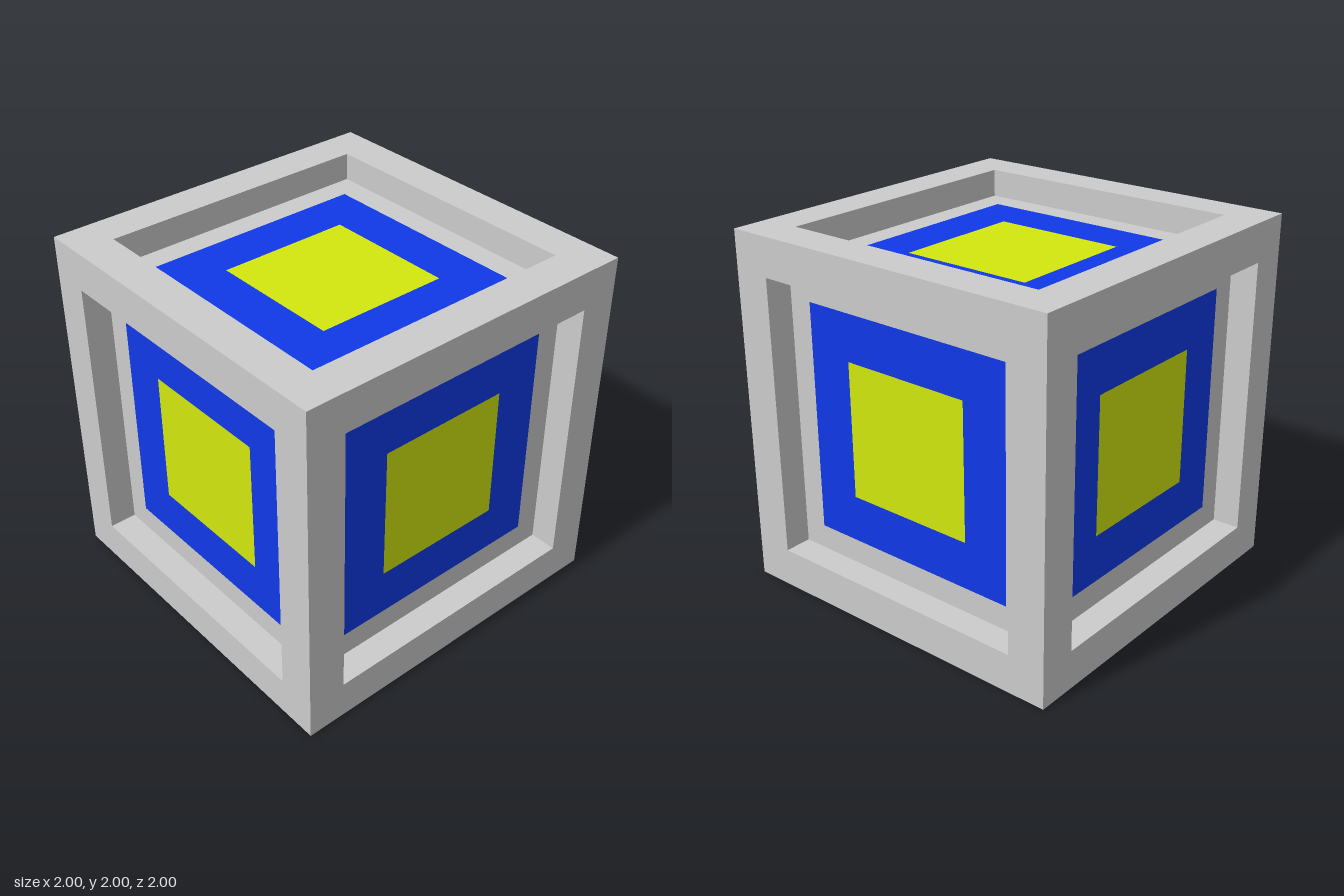
import * as THREE from 'three';

const DEPTH = 0.155;        // how far the panels sit below the rim
const OPENING = 0.783;      // half-sizes of the nested squares
const BLUE = 0.645;
const YELLOW = 0.383;
const FLOOR = 1 - DEPTH;

// A four-sided lathe: profile of [half-size, height] from the outside in
function squareLathe(name, profile, material) {
  const points = profile.map(([half, y]) => new THREE.Vector2(half * Math.SQRT2, y));
  const mesh = new THREE.Mesh(new THREE.LatheGeometry(points, 4, Math.PI / 4), material);
  mesh.name = name;
  return mesh;
}

export function createModel() {
  const grey = new THREE.MeshStandardMaterial({ color: 0xcccccc, flatShading: true });
  const blue = new THREE.MeshStandardMaterial({ color: 0x1038e8, flatShading: true });
  const yellow = new THREE.MeshStandardMaterial({ color: 0xd2e80e, flatShading: true });

  // One side of the cube, facing +y
  function side(name, rx, rz) {
    const group = new THREE.Group();
    group.name = name;
    group.add(
      // rim, recess walls and grey border of the panel
      squareLathe('frame', [[1, 1], [OPENING, 1], [OPENING, FLOOR], [BLUE, FLOOR]], grey),
      squareLathe('blueBorder', [[BLUE, FLOOR], [YELLOW, FLOOR]], blue),
      squareLathe('yellowCentre', [[YELLOW, FLOOR], [0, FLOOR]], yellow),
    );
    group.rotation.set(rx, 0, rz);
    group.position.y = 1;
    return group;
  }

  const model = new THREE.Group();
  model.name = 'framedCube';
  const q = Math.PI / 2;
  model.add(
    side('topSide', 0, 0),
    side('bottomSide', 2 * q, 0),
    side('frontSide', q, 0),
    side('backSide', -q, 0),
    side('leftSide', 0, -q),
    side('rightSide', 0, q),
  );
  return model;
}
